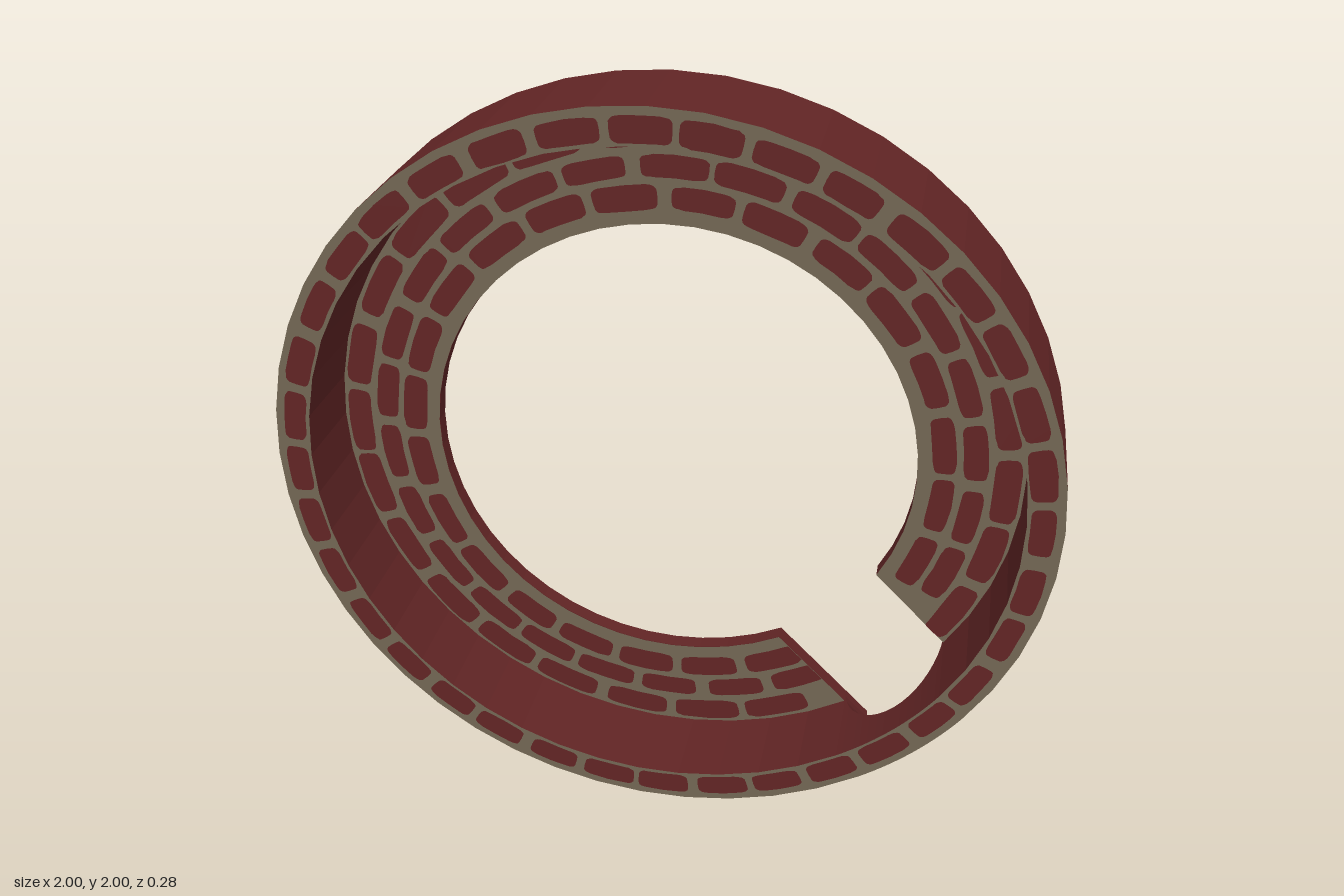
import * as THREE from 'three';

const R_OUT = 1, R_RIM = 0.91, R_IN = 0.64; // outer wall, wall inside, floor hole
const Z = 0.137, FLOOR = 0.042;             // half depth, floor thickness
const GAP = 0.178;                          // half width of doorway and arch radius
const TURN = -Math.PI / 4;                  // doorway direction
const SEGS = 46;

const brick = new THREE.MeshStandardMaterial({ color: 0x622525 });
brick.name = 'brickRed';
const mortar = new THREE.MeshStandardMaterial({ color: 0x736754 });
mortar.name = 'mortarGrey';

function seeded(seed) {
  return () => (seed = (seed * 16807) % 2147483647) / 2147483647;
}

function named(name, geometry, material) {
  const mesh = new THREE.Mesh(geometry, material);
  mesh.name = name;
  return mesh;
}

// Rim wall: rectangular sections swept round, raised at the arch
function rimGeometry() {
  const sections = [];
  const add = (inner, outer, low) => sections.push(
    [[R_OUT, outer, low], [R_OUT, outer, Z], [R_RIM, inner, Z], [R_RIM, inner, low]].map(
      ([r, a, z]) => [r * Math.cos(a), r * Math.sin(a), z]));
  for (let i = 0; i <= 20; i++) {
    const phi = Math.PI * (1 - i / 20), v = GAP * Math.cos(phi);
    add(Math.asin(v / R_RIM), Math.asin(v / R_OUT), -Z + GAP * Math.sin(phi));
  }
  const gi = Math.asin(GAP / R_RIM), go = Math.asin(GAP / R_OUT);
  for (let i = 1; i <= SEGS; i++) {
    const t = i / SEGS;
    add(gi + t * 2 * (Math.PI - gi), go + t * 2 * (Math.PI - go), -Z);
  }
  const pos = [], geo = new THREE.BufferGeometry();
  for (let k = 0; k < 4; k++) {
    const start = pos.length / 3, n = (k + 1) % 4;
    for (let i = 0; i < sections.length - 1; i++) {
      const s = sections[i], e = sections[i + 1];
      for (const p of [s[k], e[k], e[n], s[k], e[n], s[n]]) pos.push(...p);
    }
    geo.addGroup(start, pos.length / 3 - start, k === 1 ? 1 : 0);
  }
  geo.setAttribute('position', new THREE.Float32BufferAttribute(pos, 3));
  geo.computeVertexNormals();
  return geo;
}

// Floor outline: ring with a straight-sided doorway
function floorShape() {
  const pts = [];
  const arc = (r, back) => {
    const g = Math.asin(GAP / r);
    for (let i = 0; i <= SEGS; i++) {
      const t = back ? 1 - i / SEGS : i / SEGS, a = g + t * 2 * (Math.PI - g);
      pts.push(new THREE.Vector2(r * Math.cos(a), r * Math.sin(a)));
    }
  };
  arc(R_RIM, false);
  arc(R_IN, true);
  return new THREE.Shape(pts);
}

// One course of rounded, slightly uneven bricks
function brickCourse(name, r0, r1, count, phase, z, clip, seed) {
  const rand = seeded(seed), shapes = [];
  const mid = (r0 + r1) / 2, pitch = 2 * Math.PI / count;
  for (let i = 0; i < count; i++) {
    const centre = phase - TURN + i * pitch + (rand() - 0.5) * 0.015;
    const half = pitch / 2 - (0.009 + rand() * 0.008) / mid;
    const depth = (r1 - r0) / 2 - rand() * 0.004;
    // leave out bricks that fall in the doorway
    const side = mid * Math.sin(centre);
    if (clip && Math.cos(centre) > 0 && Math.abs(side) < GAP) continue;
    const pts = [];
    for (let j = 0; j < 24; j++) {
      const t = j / 24 * 2 * Math.PI, c = Math.cos(t), s = Math.sin(t);
      const a = centre + half * Math.sign(c) * Math.abs(c) ** 0.4;
      const r = mid + depth * Math.sign(s) * Math.abs(s) ** 0.4 * (0.92 + rand() * 0.08);
      let x = r * Math.cos(a), y = r * Math.sin(a);
      if (clip && x > 0 && Math.abs(y) < GAP) y = GAP * Math.sign(side);
      pts.push(new THREE.Vector2(x, y));
    }
    shapes.push(new THREE.Shape(pts));
  }
  const geo = new THREE.ShapeGeometry(shapes);
  geo.translate(0, 0, z);
  return named(name, geo, brick);
}

export function createModel() {
  const model = new THREE.Group();
  model.name = 'roundBrickWall';
  const ring = new THREE.Group();
  ring.name = 'ring';
  ring.position.y = 1;
  ring.rotation.z = TURN;
  model.add(ring);

  ring.add(named('rimWall', rimGeometry(), [brick, mortar]));

  // Floor slab with a mortar face
  const slab = new THREE.ExtrudeGeometry(floorShape(), { depth: FLOOR, bevelEnabled: false });
  slab.translate(0, 0, -Z);
  ring.add(named('floorSlab', slab, brick));
  const bed = new THREE.ShapeGeometry(floorShape());
  const top = -Z + FLOOR;
  bed.translate(0, 0, top + 0.002);
  ring.add(named('floorMortar', bed, mortar));

  // Brick courses: name, radii, count, phase in degrees, height, clipped at doorway
  [
    ['rimBricks', 0.913, 0.982, 36, 91.8, Z + 0.002, false],
    ['outerFloorBricks', 0.829, 0.903, 26, 96.9, top + 0.004, true],
    ['middleFloorBricks', 0.752, 0.818, 26, 90, top + 0.004, true],
    ['innerFloorBricks', 0.673, 0.742, 24, 84.3, top + 0.004, true],
  ].forEach(([name, r0, r1, count, deg, z, clip], i) =>
    ring.add(brickCourse(name, r0, r1, count, THREE.MathUtils.degToRad(deg), z, clip, 101 + i * 977)));

  return model;
}
